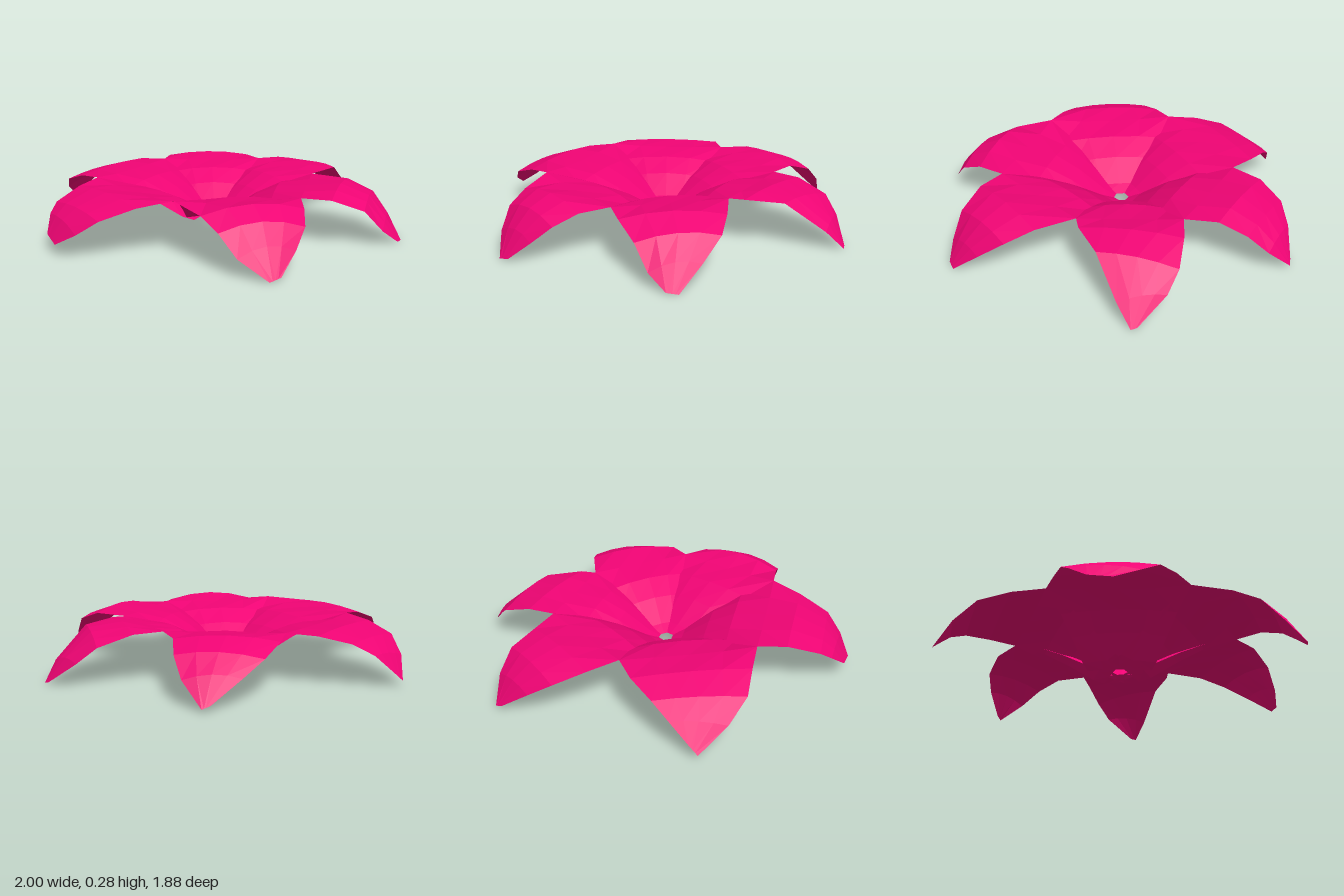
import * as THREE from 'three';

const CENTRE = [-0.03, -0.06];
const COLS = 4;

// Corners where neighbouring petals meet (x, z, height), clockwise seen from above
const VALLEYS = [
  [-0.62, -0.31, 0.275], [-0.05, -0.67, 0.265], [0.47, -0.4, 0.265],
  [0.5, 0.13, 0.262], [0.11, 0.58, 0.262], [-0.5, 0.4, 0.283],
];

// Each petal: how far its midrib arches, then its free edges (x, z) from valley to tip
const PETALS = [
  { name: 'backRight', arch: 0.012,
    left: [[-0.65, -0.48], [-0.68, -0.64], [-0.64, -0.78], [-0.55, -0.92]],
    right: [[-0.16, -0.78], [-0.3, -0.86], [-0.4, -0.9], [-0.5, -0.915]] },
  { name: 'backLeft', arch: 0.022,
    left: [[0.05, -0.81], [0.18, -0.91], [0.3, -0.94], [0.45, -0.945]],
    right: [[0.48, -0.57], [0.53, -0.71], [0.535, -0.82], [0.49, -0.94]] },
  { name: 'left', arch: 0.02,
    left: [[0.62, -0.4], [0.79, -0.38], [0.88, -0.33], [0.99, -0.2]],
    right: [[0.58, 0.11], [0.75, 0.01], [0.93, -0.1], [1.0, -0.17]] },
  { name: 'frontLeft', arch: 0.03,
    left: [[0.61, 0.32], [0.67, 0.46], [0.66, 0.6], [0.63, 0.74]],
    right: [[0.23, 0.67], [0.38, 0.74], [0.48, 0.77], [0.58, 0.77]] },
  { name: 'front', arch: 0.04,
    left: [[0.03, 0.72], [-0.04, 0.83], [-0.13, 0.89], [-0.24, 0.94]],
    right: [[-0.46, 0.6], [-0.44, 0.73], [-0.4, 0.83], [-0.3, 0.94]] },
  { name: 'right', arch: 0.02,
    left: [[-0.67, 0.35], [-0.84, 0.3], [-0.93, 0.23], [-1, 0.12]],
    right: [[-0.75, -0.23], [-0.9, -0.15], [-0.95, -0.1], [-1, 0]] },
];

// Throat midline: fraction of the way to the valleys, height
const THROAT = [[0.065, 0.056], [0.18, 0.085], [0.44, 0.18], [0.69, 0.243], [1, 0.261]];
// Drooping blade edge: radius, height
const DROOP = [[0.5, 0.265], [0.7, 0.265], [0.8, 0.25], [0.9, 0.195], [0.95, 0.125], [1, 0.045], [1.05, 0]];

const { lerp, clamp } = THREE.MathUtils;
const mix = (a, b, t) => [lerp(a[0], b[0], t), lerp(a[1], b[1], t)];

function edgeHeight([x, z]) {
  const radius = clamp(Math.hypot(x - CENTRE[0], z - CENTRE[1]), 0.5, 1.05);
  const i = Math.max(1, DROOP.findIndex(([r]) => radius <= r));
  const [a, ya] = DROOP[i - 1], [b, yb] = DROOP[i];
  return lerp(ya, yb, (radius - a) / (b - a));
}

function petalGeometry({ arch, left, right }, valleyL, valleyR) {
  const positions = [], faces = [];

  // Throat rows are wider than their sector, so the claws cross under each other
  for (const [s, y] of THROAT) {
    const l = mix(CENTRE, valleyL, s), r = mix(CENTRE, valleyR, s);
    const spread = (0.45 + 0.55 * s) / s;
    for (let c = 0; c <= COLS; c++) {
      const u = c / COLS, side = (2 * u - 1) ** 2;
      const [x, z] = mix(l, r, 0.5 + (u - 0.5) * spread);
      const rise = (lerp(valleyL[2], valleyR[2], u) - 0.261) * s ** 4;
      positions.push(x, y + side * (rise - 0.12 * s * (1 - s)), z);
    }
  }

  // Blade rows fall towards the tip, with the midrib arched between the edges
  left.forEach((l, row) => {
    const r = right[row];
    const rib = row < 3 ? arch : 0;
    for (let c = 0; c <= COLS; c++) {
      const u = c / COLS, side = (2 * u - 1) ** 2;
      const [x, z] = mix(l, r, u);
      positions.push(x, lerp(edgeHeight(l), edgeHeight(r), u) + rib * (1 - side), z);
    }
  });

  const rows = THROAT.length + left.length;
  for (let j = 0; j < rows - 1; j++) {
    for (let c = 0; c < COLS; c++) {
      const a = j * (COLS + 1) + c, d = a + COLS + 1;
      faces.push(a, a + 1, d + 1, a, d + 1, d);
    }
  }
  const geometry = new THREE.BufferGeometry();
  geometry.setAttribute('position', new THREE.Float32BufferAttribute(positions, 3));
  geometry.setIndex(faces);
  geometry.computeVertexNormals();
  return geometry;
}

export function createModel() {
  const flower = new THREE.Group();
  flower.name = 'flower';
  const material = new THREE.MeshStandardMaterial({
    color: 0xf00474, flatShading: true, side: THREE.DoubleSide,
  });
  PETALS.forEach((petal, i) => {
    const mesh = new THREE.Mesh(petalGeometry(petal, VALLEYS[i], VALLEYS[(i + 1) % 6]), material);
    mesh.name = petal.name + 'Petal';
    flower.add(mesh);
  });
  return flower;
}
